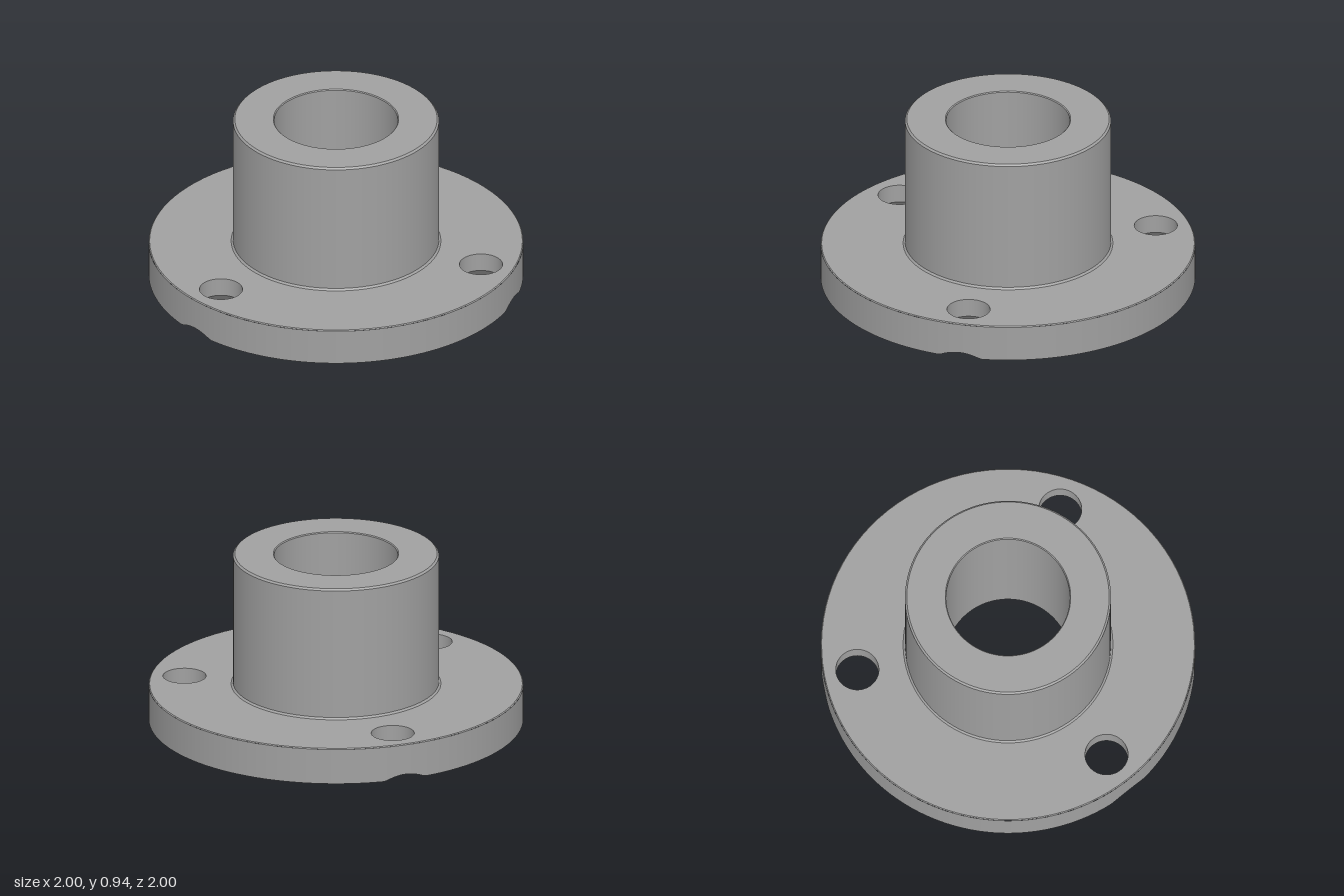
import * as THREE from 'three';
import { mergeGeometries } from 'three/addons/utils/BufferGeometryUtils.js';
import { ParametricGeometry } from 'three/addons/geometries/ParametricGeometry.js';

const TAU = Math.PI * 2;
const FLANGE_R = 1, FLANGE_H = 0.2, EDGE = 0.005;
const BORE_R = 0.33, SLEEVE_R = 0.55, HEIGHT = 0.94, FILLET = 0.01;
const BOLT_D = 0.817, BOLT_R = 0.115;           // bolt circle and hole radius
const SINK_R = 0.21, SINK_H = 0.1;              // countersink mouth and depth
const BOLTS = [1, 5, 9].map(k => k * Math.PI / 6);

// Height of the countersink cone at distance r from the bolt axis
const coneY = r => SINK_H * (SINK_R - r) / (SINK_R - BOLT_R);

// Lathe with a hard edge at every profile point
function hardLathe(profile) {
  const bands = [];
  for (let i = 0; i < profile.length - 1; i++) {
    const pts = [profile[i], profile[i + 1]].map(p => new THREE.Vector2(...p));
    bands.push(new THREE.LatheGeometry(pts, 96));
  }
  return mergeGeometries(bands);
}

// Rim wall whose lower edge rises where a countersink breaks through
function rimGeometry() {
  return new ParametricGeometry((u, v, p) => {
    const t = -u * TAU;
    let low = 0;
    for (const a of BOLTS) {
      const d = Math.sqrt(1 + BOLT_D ** 2 - 2 * BOLT_D * Math.cos(t - a));
      low = Math.max(low, coneY(d));
    }
    p.set(Math.cos(t), THREE.MathUtils.lerp(low, FLANGE_H - EDGE, v), Math.sin(t));
  }, 360, 1);
}

// Underside outline: rim arcs joined by the countersink mouths
function undersideGeometry() {
  const half = Math.acos((1 + BOLT_D ** 2 - SINK_R ** 2) / (2 * BOLT_D));
  const phi = Math.atan2(Math.sin(half), Math.cos(half) - BOLT_D);
  const shape = new THREE.Shape();
  BOLTS.forEach((a, i) => {
    const next = i < 2 ? BOLTS[i + 1] : BOLTS[0] + TAU;
    shape.absarc(BOLT_D * Math.cos(a), BOLT_D * Math.sin(a), SINK_R, a - phi, a + phi, true);
    shape.absarc(0, 0, FLANGE_R, a + half, next - half, false);
  });
  shape.holes.push(new THREE.Path().absarc(0, 0, BORE_R, 0, TAU, true));
  return new THREE.ShapeGeometry(shape, 48).rotateX(Math.PI / 2);
}

// Upper flange face with round bolt holes
function topFaceGeometry() {
  const shape = new THREE.Shape().absarc(0, 0, FLANGE_R - EDGE, 0, TAU, false);
  shape.holes.push(new THREE.Path().absarc(0, 0, SLEEVE_R + FILLET, 0, TAU, true));
  for (const a of BOLTS) {
    shape.holes.push(new THREE.Path().absarc(
      BOLT_D * Math.cos(a), -BOLT_D * Math.sin(a), BOLT_R, 0, TAU, true));
  }
  return new THREE.ShapeGeometry(shape, 48).rotateX(-Math.PI / 2).translate(0, FLANGE_H, 0);
}

// Wall around a bolt axis; ring(phi, v) gives [radius, y]
function boltWall(a, ring) {
  return new ParametricGeometry((u, v, p) => {
    const [r, y] = ring(u * TAU, v);
    const t = a + u * TAU;
    p.set(BOLT_D * Math.cos(a) + r * Math.cos(t), y, BOLT_D * Math.sin(a) + r * Math.sin(t));
  }, 96, 1);
}

export function createModel() {
  const group = new THREE.Group();
  const metal = new THREE.MeshStandardMaterial({ color: 0xa0a0a0 });
  metal.name = 'grey metal';

  const add = (name, geometry, parent = group) => {
    const mesh = new THREE.Mesh(geometry, metal);
    mesh.name = name;
    parent.add(mesh);
  };

  // Flange
  const flange = new THREE.Group();
  flange.name = 'flange';
  group.add(flange);
  add('flangeRim', rimGeometry(), flange);
  add('flangeEdge', hardLathe([[FLANGE_R, FLANGE_H - EDGE], [FLANGE_R - EDGE, FLANGE_H]]), flange);
  add('flangeTop', topFaceGeometry(), flange);
  add('flangeUnderside', undersideGeometry(), flange);

  // Countersunk bolt holes
  for (const a of BOLTS) {
    const hole = new THREE.Group();
    hole.name = 'boltHole';
    flange.add(hole);
    add('countersink', boltWall(a, (phi, v) => {
      const toRim = -BOLT_D * Math.cos(phi) + Math.sqrt(1 - (BOLT_D * Math.sin(phi)) ** 2);
      const r = THREE.MathUtils.lerp(Math.min(SINK_R, toRim), BOLT_R, v);
      return [r, coneY(r)];
    }), hole);
    add('holeWall', boltWall(a, (phi, v) => [BOLT_R, THREE.MathUtils.lerp(SINK_H, FLANGE_H, v)]), hole);
  }

  // Sleeve with softened edges, and the bore through everything
  add('sleeve', hardLathe([
    [SLEEVE_R + FILLET, FLANGE_H], [SLEEVE_R, FLANGE_H + FILLET],
    [SLEEVE_R, HEIGHT - FILLET], [SLEEVE_R - FILLET, HEIGHT],
    [BORE_R + EDGE, HEIGHT], [BORE_R, HEIGHT - EDGE]]));
  add('bore', hardLathe([[BORE_R, HEIGHT - EDGE], [BORE_R, 0]]));

  return group;
}
